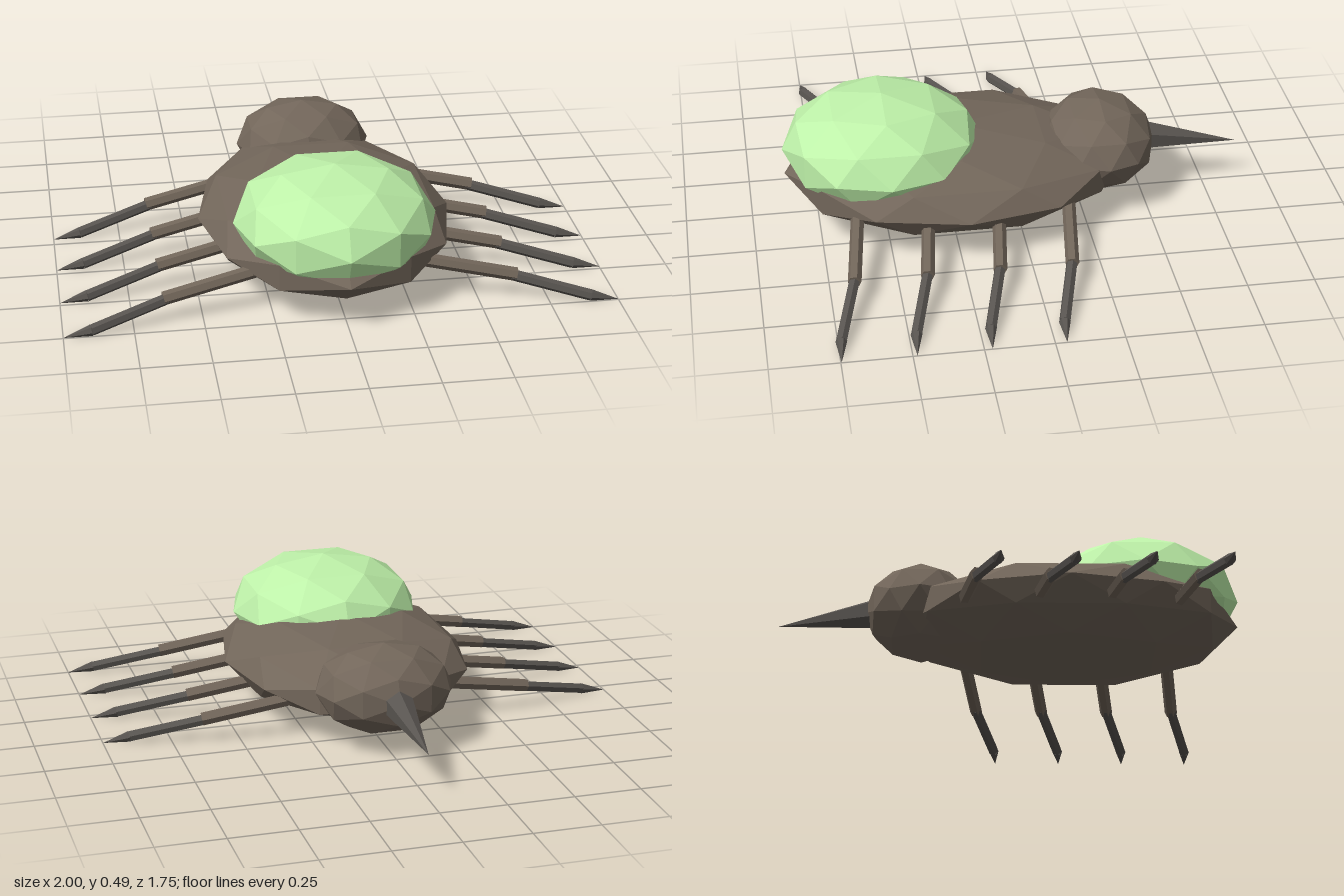
import * as THREE from 'three';

const material = (color) => new THREE.MeshStandardMaterial({ color, flatShading: true });
const shell = material(0x72665a);
const horn = material(0x585450);
const glow = material(0xbdf0a8);

// Faceted ellipsoid
function ellipsoid(name, mat, center, radii) {
  const mesh = new THREE.Mesh(new THREE.IcosahedronGeometry(1, 1), mat);
  mesh.name = name;
  mesh.position.set(...center);
  mesh.scale.set(...radii);
  return mesh;
}

// Tapered rod between two points
function rod(name, mat, from, to, r0, r1, sides = 6) {
  const a = new THREE.Vector3(...from);
  const b = new THREE.Vector3(...to);
  const axis = b.clone().sub(a);
  const mesh = new THREE.Mesh(new THREE.CylinderGeometry(r1, r0, axis.length(), sides), mat);
  mesh.name = name;
  mesh.position.copy(a).add(b).multiplyScalar(0.5);
  mesh.quaternion.setFromUnitVectors(new THREE.Vector3(0, 1, 0), axis.normalize());
  return mesh;
}

export function createModel() {
  const model = new THREE.Group();
  model.name = 'beetle';

  model.add(
    ellipsoid('body', shell, [0, 0.19, 0.22], [0.47, 0.16, 0.65]),
    ellipsoid('head', shell, [0, 0.24, -0.335], [0.26, 0.17, 0.215]),
    ellipsoid('abdomen', glow, [0, 0.295, 0.495], [0.37, 0.21, 0.38]),
    rod('spike', horn, [0, 0.236, -0.51], [0, 0.18, -0.875], 0.06, 0),
  );

  // Four pairs of legs: upper segment, lower segment and claw
  for (const side of [-1, 1]) {
    for (let i = 0; i < 4; i++) {
      const leg = new THREE.Group();
      leg.name = `${side > 0 ? 'left' : 'right'}Leg${i + 1}`;
      leg.position.z = i * 0.263;
      const ankle = [side * 0.9, 0.033, -0.05];
      leg.add(
        rod('upperLeg', shell, [side * 0.28, 0.168, -0.17], [side * 0.64, 0.1, -0.123], 0.025, 0.025),
        rod('lowerLeg', horn, [side * 0.61, 0.102, -0.128], ankle, 0.021, 0.021),
        rod('claw', horn, ankle, [side, 0.014, -0.042], 0.021, 0),
      );
      model.add(leg);
    }
  }
  return model;
}
